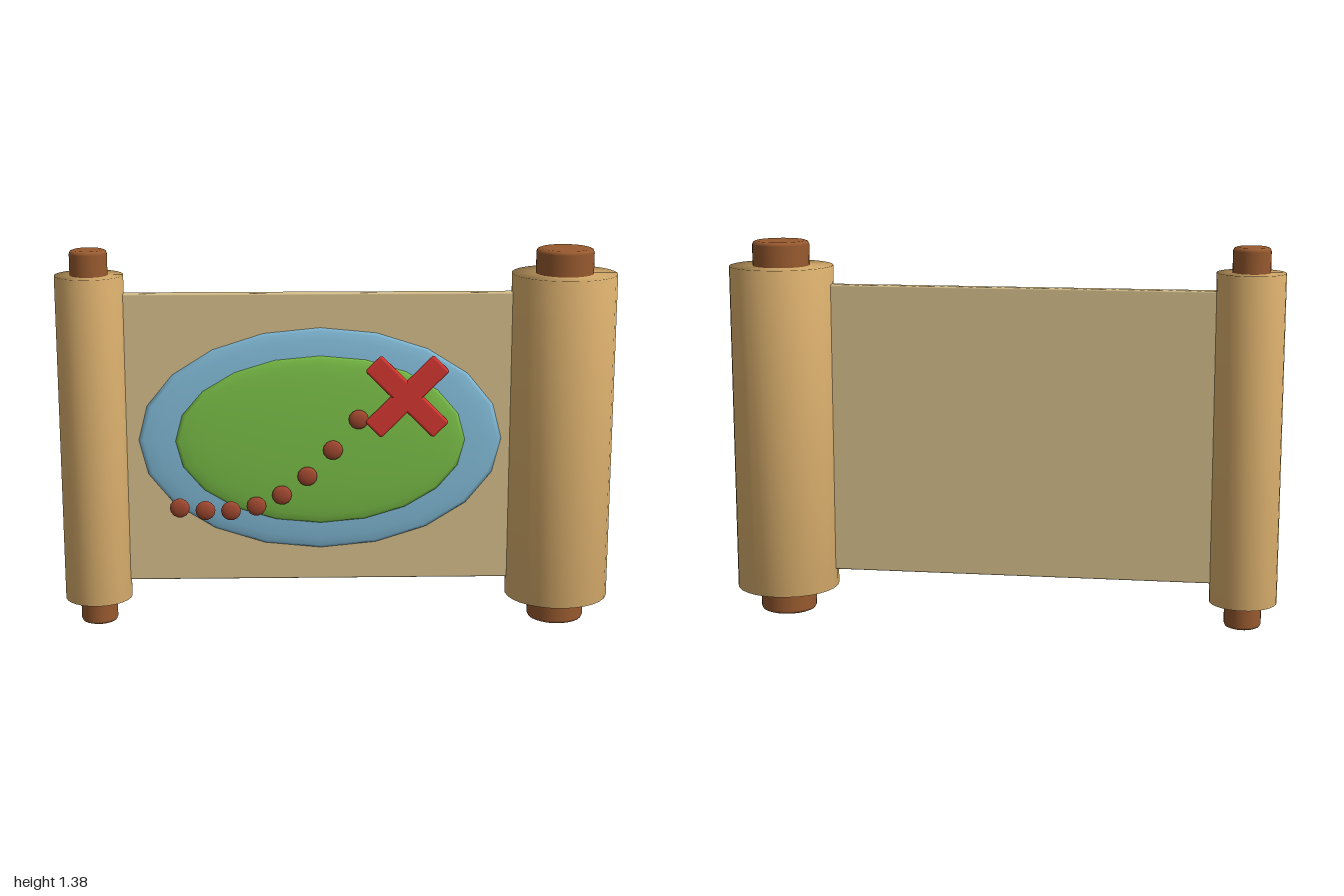
import * as THREE from 'three';
import { RoundedBoxGeometry } from 'three/addons/geometries/RoundedBoxGeometry.js';

const paint = (name, color) => {
  const m = new THREE.MeshStandardMaterial({ color });
  m.name = name;
  return m;
};

export function createModel() {
  const parchment = paint('parchment', 0xd6bf8b);
  const rolledParchment = paint('rolled parchment', 0xdeb26f);
  const wood = paint('wood', 0x985a2f);
  const water = paint('water', 0x84bedb);
  const grass = paint('grass', 0x7bc148);
  const red = paint('marker red', 0xd53631);
  const trail = paint('trail brown', 0xa0482f);

  const model = new THREE.Group();
  model.name = 'mapScroll';
  const add = (name, geometry, material, x = 0, y = 0, z = 0, parent = model) => {
    const mesh = new THREE.Mesh(geometry, material);
    mesh.name = name;
    mesh.position.set(x, y, z);
    parent.add(mesh);
    return mesh;
  };
  const lathe = (points) =>
    new THREE.LatheGeometry(points.map(([r, y]) => new THREE.Vector2(r, y)), 28);

  // Rolled ends, each on a wooden rod; normals run smoothly over the rims
  const addRoll = (side, x, rollRadius, rodRadius) => {
    const roll = new THREE.Group();
    roll.name = side + 'Roll';
    roll.position.x = x;
    model.add(roll);
    add('rolledPaper', lathe([[0, 0.093], [rollRadius, 0.093], [rollRadius, 1.29], [0, 1.29]]),
      rolledParchment, 0, 0, 0, roll);
    const b = 0.014;
    add('rod', lathe([
      [0, 0], [rodRadius - b, 0], [rodRadius - b * 0.3, b * 0.3], [rodRadius, b],
      [rodRadius, 1.38 - b], [rodRadius - b * 0.3, 1.38 - b * 0.3], [rodRadius - b, 1.38], [0, 1.38],
    ]), wood, 0, 0, 0, roll);
  };
  addRoll('right', -0.878, 0.122, 0.067);
  addRoll('left', 0.812, 0.188, 0.103);

  // Open sheet between the rolls
  add('sheet', new RoundedBoxGeometry(1.6, 1.064, 0.04, 2, 0.006), parchment, -0.05, 0.692, 0);

  // Flattened domes with their poles facing forward
  const dome = (rx, ry, rz, sides) =>
    new THREE.SphereGeometry(1, sides, 14).rotateX(Math.PI / 2).scale(rx, ry, rz);
  add('sea', dome(0.655, 0.41, 0.025, 20), water, -0.06, 0.69, 0.02);
  add('island', dome(0.522, 0.311, 0.022, 20), grass, -0.06, 0.69, 0.036);

  // Dotted trail
  const heights = [0.447, 0.437, 0.435, 0.452, 0.493, 0.563, 0.66, 0.773];
  const dot = dome(0.036, 0.036, 0.015, 14);
  heights.forEach((y, i) => add('trailDot', dot, trail, -0.57 + i * 0.0924, y, 0.065));

  // Cross marking the spot
  const bar = new RoundedBoxGeometry(0.345, 0.082, 0.03, 2, 0.01);
  for (const turn of [1, -1]) {
    add('crossBar', bar, red, 0.25, 0.858, 0.073).rotation.z = turn * Math.PI / 4;
  }
  return model;
}
